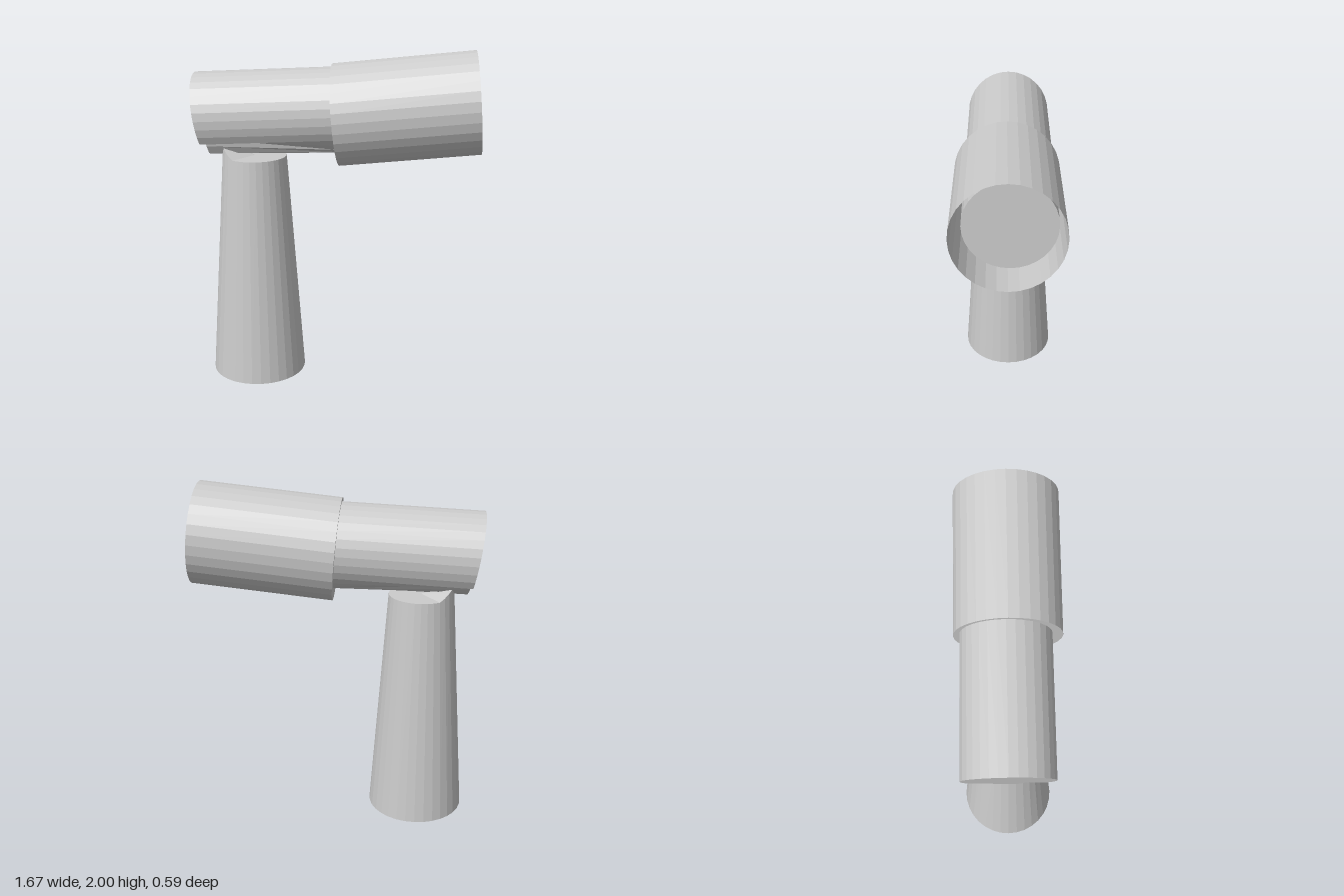
import * as THREE from 'three';

const SIDES = 32;
const material = new THREE.MeshStandardMaterial({
  color: 0xcccccc, flatShading: true, side: THREE.DoubleSide,
});

// Ring around the x axis; slant leans its face, radiusAt varies the radius by angle
function ring(x, y, z, radius, slant, radiusAt = () => radius) {
  const points = [];
  for (let i = 0; i < SIDES; i++) {
    const a = (i / SIDES) * Math.PI * 2;
    const r = radiusAt(a);
    const dy = r * Math.cos(a);
    points.push([x - slant * dy, y + dy, z + r * Math.sin(a)]);
  }
  return { centre: [x, y, z], points };
}

// Skin over a row of rings running towards +x, with optional end caps
function loft(rings, capStart, capEnd) {
  const v = [];
  const first = rings[0];
  const last = rings[rings.length - 1];
  for (let i = 0; i < SIDES; i++) {
    const j = (i + 1) % SIDES;
    for (let k = 0; k < rings.length - 1; k++) {
      const a = rings[k].points, b = rings[k + 1].points;
      v.push(...a[i], ...a[j], ...b[i], ...a[j], ...b[j], ...b[i]);
    }
    if (capStart) v.push(...first.centre, ...first.points[j], ...first.points[i]);
    if (capEnd) v.push(...last.centre, ...last.points[i], ...last.points[j]);
  }
  const geometry = new THREE.BufferGeometry();
  geometry.setAttribute('position', new THREE.Float32BufferAttribute(v, 3));
  geometry.computeVertexNormals();
  return geometry;
}

// Notches either side of a keel under the tube: [degrees from the bottom, radius]
const NOTCH = [[-56, 0.248], [-42, 0.165], [6, 0.248], [38, 0.14], [56, 0.248]];
function notchedRadius(a) {
  const d = 180 - THREE.MathUtils.radToDeg(a);
  for (let i = 0; i < NOTCH.length - 1; i++) {
    const [d0, r0] = NOTCH[i], [d1, r1] = NOTCH[i + 1];
    if (d >= d0 && d <= d1) return THREE.MathUtils.mapLinear(d, d0, d1, r0, r1);
  }
  return 0.248;
}

export function createModel() {
  const model = new THREE.Group();
  const add = (name, geometry) => {
    const mesh = new THREE.Mesh(geometry, material);
    mesh.name = name;
    model.add(mesh);
    return mesh;
  };

  // Tapered pillar, its rim rising into the tube on one side
  const pillar = new THREE.CylinderGeometry(0.188, 0.286, 1.37, SIDES);
  pillar.translate(0, 0.685, 0);
  const p = pillar.attributes.position;
  for (let i = 0; i < p.count; i++) {
    if (p.getY(i) > 1) {
      p.setY(i, 1.37 + Math.max(0, -p.getX(i) - 0.11) * 0.8);
      p.setX(i, p.getX(i) + 0.005);
    }
  }
  pillar.computeVertexNormals();
  add('pillar', pillar).position.set(-0.496, 0, -0.01);

  // Narrow tube with a slanted rear end, capped inside the barrel
  add('tube', loft([
    ring(-0.795, 1.61, -0.012, 0.248, 0.163, notchedRadius),
    ring(0, 1.65, -0.012, 0.248, 0.08),
    ring(0.65, 1.681, -0.012, 0.248, 0.05),
  ], true, true));

  // Wide barrel, open at its front end
  add('barrel', loft([
    ring(-0.005, 1.622, 0, 0.295, 0.085),
    ring(0.81, 1.707, 0, 0.295, 0.085),
  ], true, false));

  return model;
}
